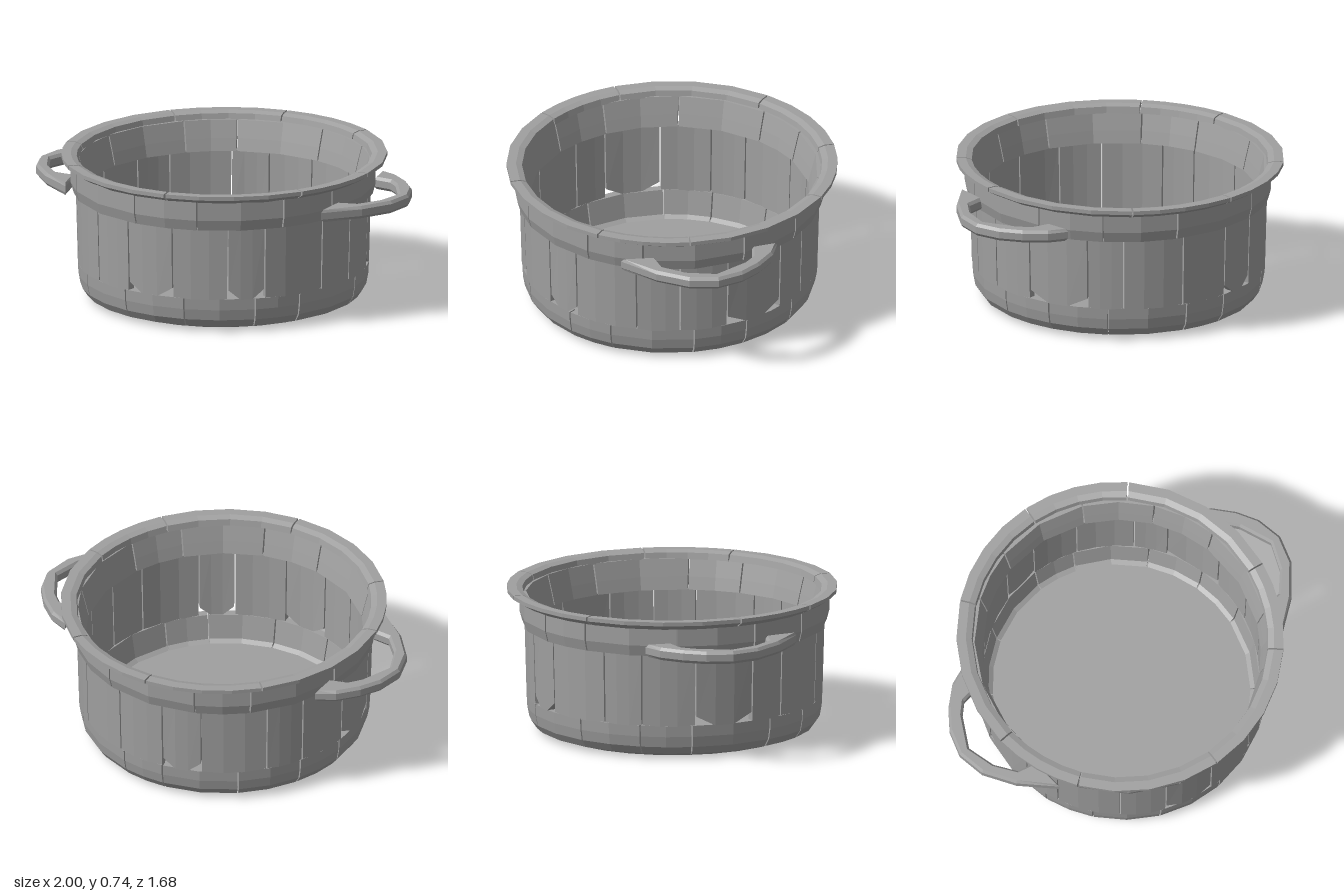
import * as THREE from 'three';

const steel = new THREE.MeshStandardMaterial({ color: 0xa0a0a0, flatShading: true, side: THREE.DoubleSide });
steel.name = 'greySteel';

// Closed (radius, height) profile swept from angle a0 to a1, with end caps.
// chip raises the lowest inner and outer points at the two ends.
function ringSegment(profile, a0, a1, steps, chip = 0) {
  const n = profile.length, pos = [], index = [];
  for (let i = 0; i <= steps; i++) {
    const a = a0 + (a1 - a0) * i / steps;
    const lift = (i === 0 || i === steps) ? chip : 0;
    profile.forEach(([r, y], j) => pos.push(r * Math.sin(a), y + (j < 2 ? lift : 0), r * Math.cos(a)));
  }
  for (let i = 0; i < steps; i++) for (let j = 0; j < n; j++) {
    const k = (j + 1) % n, a = i * n + j, b = (i + 1) * n + j, c = (i + 1) * n + k, d = i * n + k;
    index.push(a, b, c, a, c, d);
  }
  const caps = THREE.ShapeUtils.triangulateShape(profile.map(p => new THREE.Vector2(...p)), []);
  for (const [a, b, c] of caps) index.push(a, b, c, steps * n + a, steps * n + c, steps * n + b);
  const indexed = new THREE.BufferGeometry();
  indexed.setAttribute('position', new THREE.Float32BufferAttribute(pos, 3));
  indexed.setIndex(index);
  const geo = indexed.toNonIndexed();
  geo.computeVertexNormals();
  return geo;
}

// A full ring made of separate pieces with hairline joints
function segmentedRing(name, profile, count, steps, offset, chip = () => 0) {
  const ring = new THREE.Group(), span = 2 * Math.PI / count, gap = 0.005;
  ring.name = name;
  const joint = i => offset + span * (i + 0.16 * Math.sin((i % count) * 2.4));
  for (let i = 0; i < count; i++) {
    const geo = ringSegment(profile, joint(i) + gap, joint(i + 1) - gap, steps, chip(i));
    const piece = new THREE.Mesh(geo, steel);
    piece.name = name + 'Piece';
    ring.add(piece);
  }
  return ring;
}

// Flat loop handle, side = 1 for left and -1 for right
function makeHandle(side) {
  const outline = [
    [0.70, 0.42], [0.85, 0.285], [0.955, 0.14], [0.988, 0], [0.955, -0.13], [0.89, -0.23], [0.80, -0.32], [0.72, -0.36],
    [0.73, -0.25], [0.82, -0.23], [0.875, -0.17], [0.955, 0], [0.905, 0.15], [0.82, 0.255], [0.72, 0.27],
  ];
  const shape = new THREE.Shape(outline.map(([x, z]) => new THREE.Vector2(side * x, -z)));
  const geo = new THREE.ExtrudeGeometry(shape, {
    depth: 0.035, bevelEnabled: true, bevelThickness: 0.015, bevelSize: 0.012, bevelSegments: 1,
  });
  geo.rotateX(-Math.PI / 2);
  geo.translate(0, 0.568, 0);
  const handle = new THREE.Mesh(geo, steel);
  handle.name = side > 0 ? 'leftHandle' : 'rightHandle';
  return handle;
}

export function createModel() {
  const model = new THREE.Group();
  model.name = 'cookingPot';

  // Vessel, slightly longer front to back
  const vessel = new THREE.Group();
  vessel.name = 'vessel';
  vessel.scale.z = 1.02;
  vessel.position.z = 0.012;
  model.add(vessel);

  // Floor disc
  const floor = new THREE.Mesh(new THREE.CylinderGeometry(0.69, 0.62, 0.035, 28), steel);
  floor.name = 'floor';
  floor.position.y = 0.0175;
  vessel.add(floor);

  // Rounded lower edge
  vessel.add(segmentedRing('base', [
    [0.60, 0.003], [0.64, 0.008], [0.695, 0.025], [0.722, 0.065], [0.732, 0.12], [0.735, 0.178], [0.695, 0.178], [0.67, 0.05],
  ], 14, 2, 0.1));

  // Upright wall panels, a few with chipped lower corners
  vessel.add(segmentedRing('wall', [
    [0.695, 0.175], [0.735, 0.175], [0.745, 0.55], [0.705, 0.55],
  ], 18, 3, 0.02, i => (i % 4 === 1 ? 0.05 : 0.006)));

  // Collar stepping out above the wall
  vessel.add(segmentedRing('collar', [
    [0.70, 0.545], [0.757, 0.545], [0.772, 0.60], [0.772, 0.70], [0.738, 0.70], [0.715, 0.61],
  ], 12, 2, 0.2));

  // Flared lip
  const lip = segmentedRing('lip', [
    [0.738, 0.695], [0.775, 0.69], [0.822, 0.718], [0.822, 0.738], [0.775, 0.738], [0.745, 0.728],
  ], 8, 4, 0);
  lip.position.z = -0.012;
  vessel.add(lip);

  model.add(makeHandle(1), makeHandle(-1));
  return model;
}
